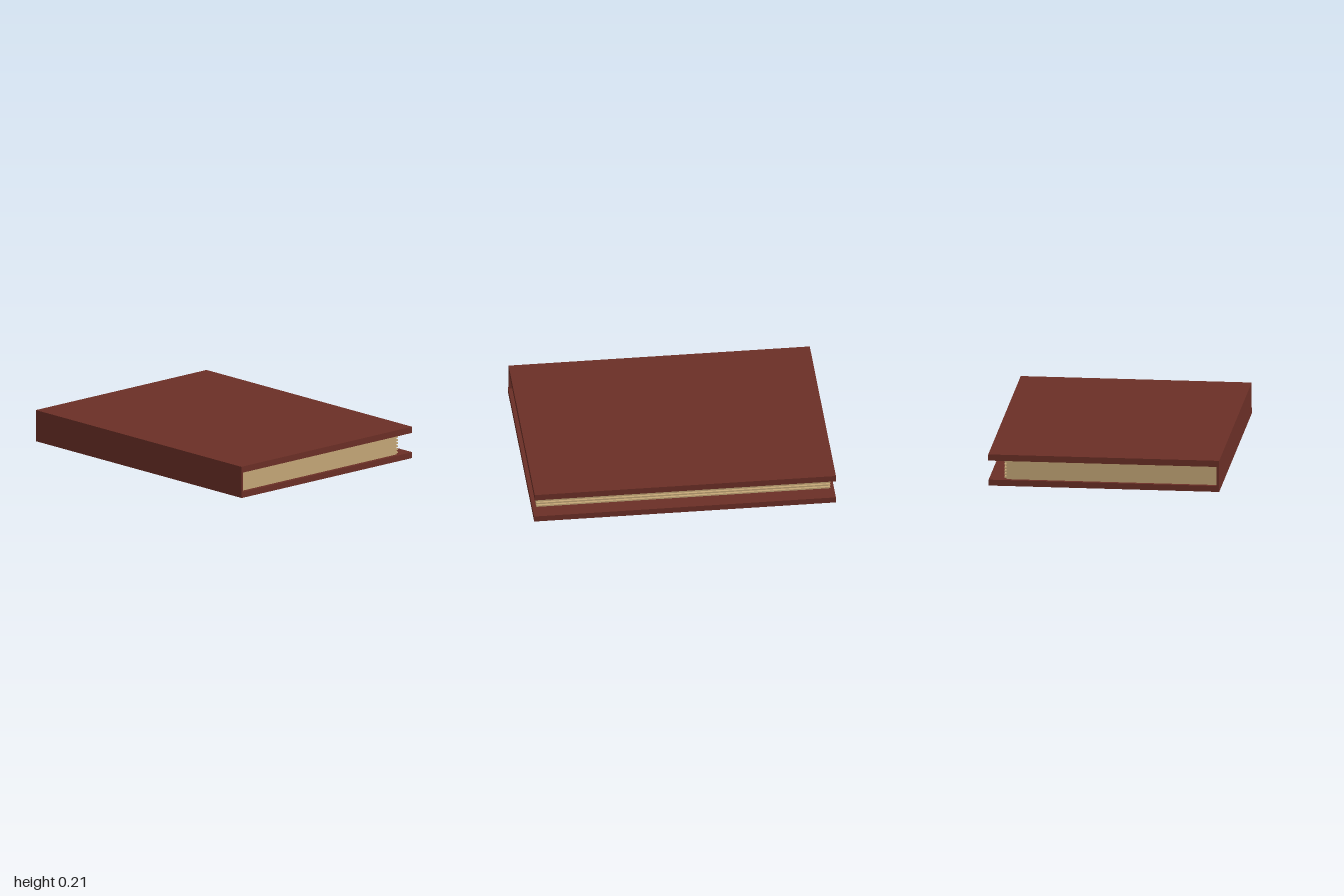
import * as THREE from 'three';

export function createModel() {
  const book = new THREE.Group();
  book.name = 'book';
  const leather = new THREE.MeshStandardMaterial({ color: 0x6b2f26 });
  const paper = new THREE.MeshStandardMaterial({ color: 0xc4a777 });

  // Box given by its lower and upper limits on each axis
  function block(name, material, [x0, x1], [y0, y1], [z0, z1], parent = book) {
    const mesh = new THREE.Mesh(new THREE.BoxGeometry(x1 - x0, y1 - y0, z1 - z0), material);
    mesh.position.set((x0 + x1) / 2, (y0 + y1) / 2, (z0 + z1) / 2);
    mesh.name = name;
    parent.add(mesh);
  }

  // Binding: two boards joined by a thin spine along the front
  block('bottomCover', leather, [-1, 1], [0, 0.04], [-0.762, 0.765]);
  block('topCover', leather, [-1, 0.996], [0.17, 0.212], [-0.765, 0.765]);
  block('spine', leather, [-1, 0.996], [0.04, 0.17], [0.748, 0.765]);

  // Page block, set in from the ends of the boards
  const pageX = [-0.974, 0.974];
  block('pageBlock', paper, pageX, [0.04, 0.17], [-0.646, 0.748]);

  // Thin sheet edges standing out of the open side
  const sheets = new THREE.Group();
  sheets.name = 'sheetEdges';
  book.add(sheets);
  const count = 6;
  for (let i = 0; i < count; i++) {
    const y = 0.052 + i * 0.021;
    block('sheetEdge', paper, pageX, [y - 0.005, y + 0.005], [-0.661, -0.646], sheets);
  }

  return book;
}
